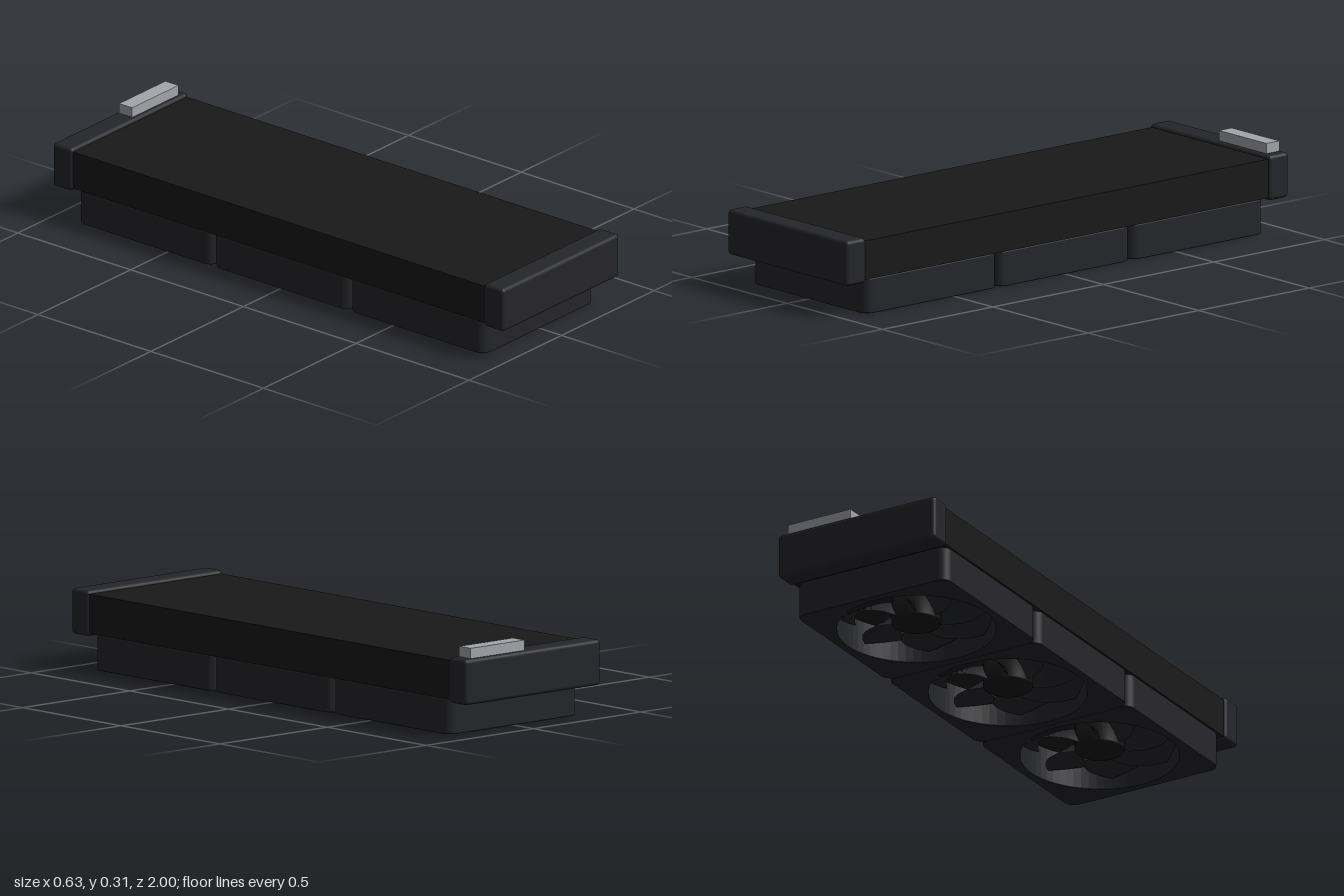
import * as THREE from 'three';
import { RoundedBoxGeometry } from 'three/addons/geometries/RoundedBoxGeometry.js';

const shell = new THREE.MeshStandardMaterial({ color: 0x25262a });
const finBlack = new THREE.MeshStandardMaterial({ color: 0x19191a });
const hubBlack = new THREE.MeshStandardMaterial({ color: 0x141415 });
const bladeGrey = new THREE.MeshStandardMaterial({ color: 0x25262a, side: THREE.DoubleSide });
const paleGrey = new THREE.MeshStandardMaterial({ color: 0xa3a6ab });

function add(parent, name, geometry, material, x = 0, y = 0, z = 0) {
  const mesh = new THREE.Mesh(geometry, material);
  mesh.name = name;
  mesh.position.set(x, y, z);
  parent.add(mesh);
  return mesh;
}

// Square frame with rounded corners and a round opening, standing on y = 0
function frameGeometry(half, height, corner, holeRadius) {
  const bevel = 0.005, h = half - bevel, c = h - corner;
  const shape = new THREE.Shape();
  shape.absarc(c, c, corner, 0, Math.PI / 2);
  shape.absarc(-c, c, corner, Math.PI / 2, Math.PI);
  shape.absarc(-c, -c, corner, Math.PI, Math.PI * 1.5);
  shape.absarc(c, -c, corner, Math.PI * 1.5, Math.PI * 2);
  shape.closePath();
  const hole = new THREE.Path();
  hole.absarc(0, 0, holeRadius + bevel, 0, Math.PI * 2, true);
  shape.holes.push(hole);
  const geometry = new THREE.ExtrudeGeometry(shape, {
    depth: height - 2 * bevel, bevelSize: bevel, bevelThickness: bevel, bevelSegments: 2, curveSegments: 32,
  });
  return geometry.translate(0, 0, bevel).rotateX(-Math.PI / 2);
}

// Pitched blade that sweeps round as it runs from the hub to the rim
function bladeGeometry(inner, outer) {
  const geometry = new THREE.PlaneGeometry(1, 1, 8, 6);
  const p = geometry.attributes.position;
  for (let i = 0; i < p.count; i++) {
    const t = p.getX(i) + 0.5, s = p.getY(i);
    const r = inner + (outer - inner) * t;
    const angle = 0.65 * t * t + s * (0.62 + 0.1 * t);
    const y = 0.065 + s * (0.075 - 0.02 * t) + 0.012 * (0.25 - s * s);
    p.setXYZ(i, r * Math.cos(angle), y, r * Math.sin(angle));
  }
  geometry.computeVertexNormals();
  return geometry;
}

export function createModel() {
  const model = new THREE.Group();
  model.name = 'radiatorWithFans';

  // Radiator core and its two end tanks
  add(model, 'radiatorCore', new THREE.BoxGeometry(0.614, 0.137, 1.83), finBlack, 0, 0.1935, 0);
  for (const side of [1, -1]) {
    add(model, side > 0 ? 'frontTank' : 'backTank',
      new RoundedBoxGeometry(0.63, 0.159, 0.088, 4, 0.014), shell, 0, 0.1945, side * 0.956);
  }

  // Fitting block on the back tank
  add(model, 'fittingBlock', new THREE.BoxGeometry(0.25, 0.04, 0.058), paleGrey, 0.155, 0.29, -0.957);

  // Three fans below the core
  const frame = frameGeometry(0.302, 0.125, 0.035, 0.272);
  const blade = bladeGeometry(0.08, 0.264);
  const hubProfile = [[0, 0.02], [0.079, 0.02], [0.084, 0.022], [0.086, 0.027], [0.086, 0.115], [0, 0.115]]
    .map(([r, y]) => new THREE.Vector2(r, y));
  const hub = new THREE.LatheGeometry(hubProfile, 40);
  for (let i = -1; i <= 1; i++) {
    const fan = new THREE.Group();
    fan.name = 'fan';
    fan.position.z = i * 0.602;
    add(fan, 'fanFrame', frame, shell);
    add(fan, 'fanHub', hub, hubBlack);
    for (let k = 0; k < 7; k++) {
      add(fan, 'fanBlade', blade, bladeGrey).rotation.y = (k / 7) * Math.PI * 2;
    }
    model.add(fan);
  }
  return model;
}
